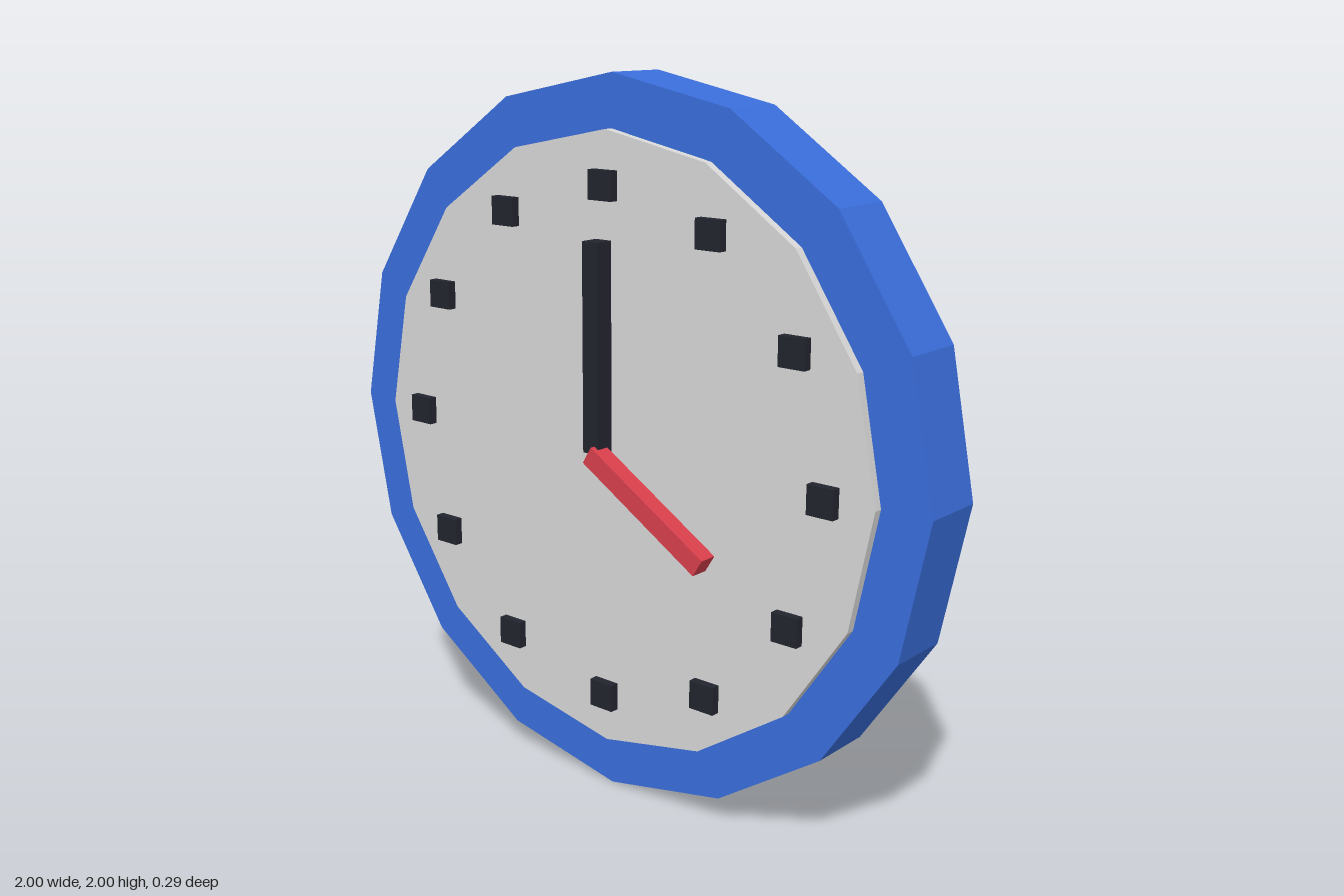
import * as THREE from 'three';

const flat = (name, color) => {
  const m = new THREE.MeshStandardMaterial({ color, flatShading: true });
  m.name = name;
  return m;
};

export function createModel() {
  const clock = new THREE.Group();
  clock.name = 'wallClock';
  const blue = flat('blue', 0x3a6edc);
  const paleGrey = flat('paleGrey', 0xd9d9d9);
  const black = flat('black', 0x23252f);
  const red = flat('red', 0xd93f4c);

  const add = (name, geometry, material, x, y, z) => {
    const mesh = new THREE.Mesh(geometry, material);
    mesh.name = name;
    mesh.position.set(x, y, z);
    clock.add(mesh);
    return mesh;
  };
  // sixteen-sided disc facing +z, spanning back to front
  const disc = (name, radius, back, front, material) =>
    add(name, new THREE.CylinderGeometry(radius, radius, front - back, 16).rotateX(Math.PI / 2),
      material, 0, 1, (back + front) / 2);

  disc('case', 1, -0.145, 0.042, blue);
  disc('dial', 0.857, 0.038, 0.067, paleGrey);

  // upright square hour markers
  const marker = new THREE.BoxGeometry(0.079, 0.079, 0.028);
  for (let i = 0; i < 12; i++) {
    const a = (i * Math.PI) / 6;
    add('hourMarker' + (i || 12), marker, black, 0.714 * Math.sin(a), 1 + 0.714 * Math.cos(a), 0.078);
  }

  // hands
  add('minuteHand', new THREE.BoxGeometry(0.053, 0.571, 0.055), black, 0, 1.286, 0.1025);
  const hourHand = add('hourHand', new THREE.BoxGeometry(0.447, 0.055, 0.053), red, 0.19, 0.883, 0.1185);
  hourHand.rotation.z = -0.55;

  return clock;
}
